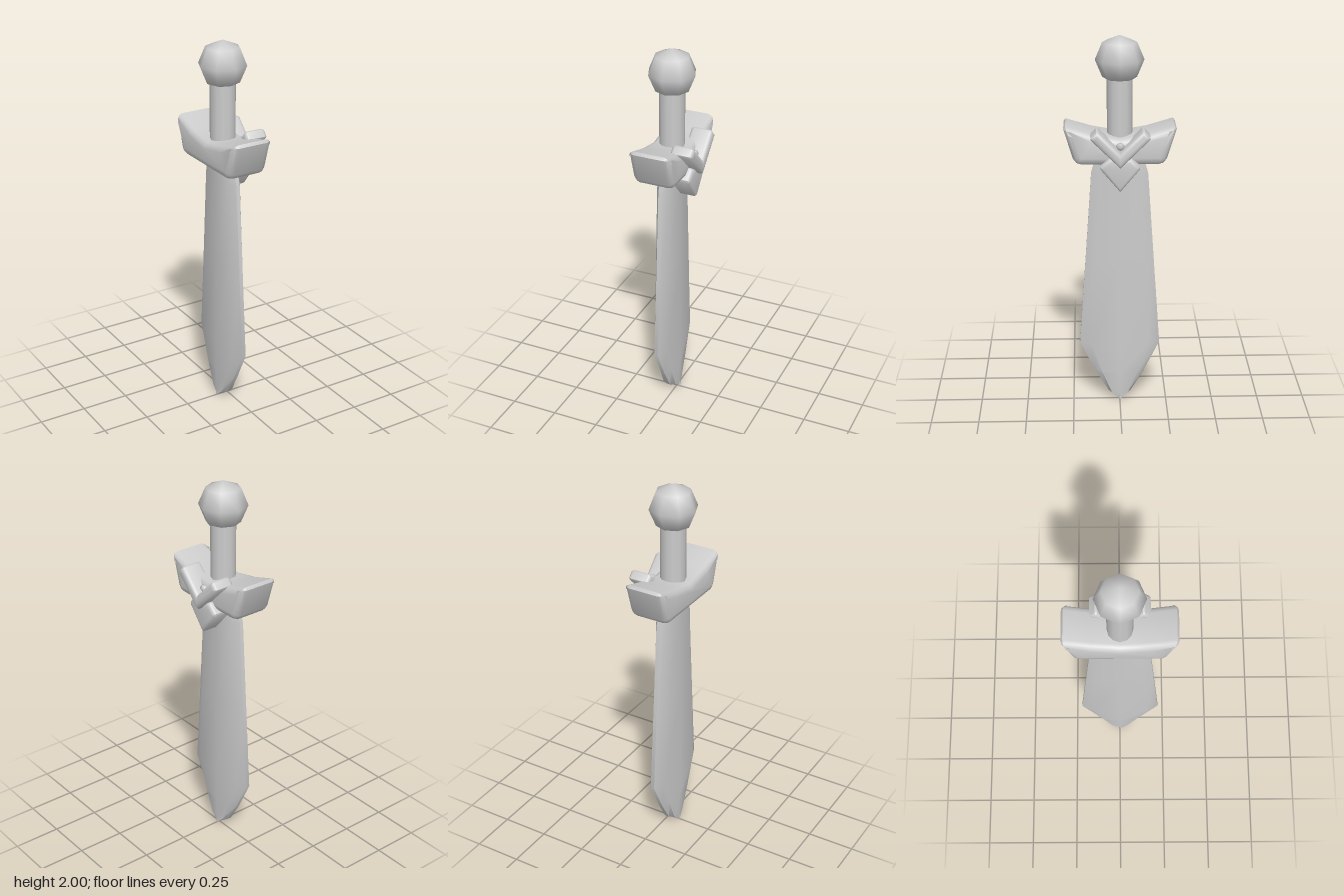
import * as THREE from 'three';
import { toCreasedNormals, mergeVertices } from 'three/addons/utils/BufferGeometryUtils.js';

const material = new THREE.MeshStandardMaterial({ color: 0xcccccc });
const AXIS = -0.025; // x of the sword's long axis

function add(group, name, geometry, x = 0, y = 0) {
  const mesh = new THREE.Mesh(geometry, material);
  mesh.name = name;
  mesh.position.set(x, y, 0);
  group.add(mesh);
  return mesh;
}

// Rounded plate: half outline of [z, y] mirrored across z = 0, spanning x0..x1
function plate(half, x0, x1, bevel) {
  const mirrored = half.filter(([z]) => z > 0).reverse().map(([z, y]) => [-z, y]);
  const shape = new THREE.Shape([...half, ...mirrored].map(([z, y]) => new THREE.Vector2(z, y)));
  const geometry = new THREE.ExtrudeGeometry(shape, {
    depth: x1 - x0 - 2 * bevel, bevelEnabled: true, bevelThickness: bevel,
    bevelSize: bevel, bevelOffset: -bevel, bevelSegments: 3,
  });
  geometry.translate(0, 0, bevel - x1);
  geometry.rotateY(-Math.PI / 2);
  return toCreasedNormals(geometry, 0.75);
}

// Blade: lens cross-sections stacked from the tip upward
function bladeGeometry() {
  const rows = [[0, 0], [0.04, 0.06], [0.16, 0.13], [0.33, 0.213], [0.8, 0.18], [1.28, 0.147], [1.34, 0.13], [1.42, 0.1]];
  const side = [[-1, 0.01], [-0.72, 0.036], [0, 0.045], [0.72, 0.036], [1, 0.01]];
  const ring = [...side, ...side.map(([z, x]) => [-z, -x])];
  const n = ring.length;
  const positions = [], index = [];
  for (const [y, w] of rows) for (const [z, x] of ring) positions.push(x, y, z * w);
  for (let r = 0; r < rows.length - 1; r++) {
    for (let i = 0; i < n; i++) {
      const a = r * n + i, b = r * n + (i + 1) % n;
      index.push(a, a + n, b, b, a + n, b + n);
    }
  }
  const geometry = new THREE.BufferGeometry();
  geometry.setAttribute('position', new THREE.Float32BufferAttribute(positions, 3));
  geometry.setIndex(index);
  return toCreasedNormals(mergeVertices(geometry), 0.6);
}

export function createModel() {
  const sword = new THREE.Group();
  sword.name = 'sword';

  add(sword, 'blade', bladeGeometry(), AXIS);

  // Grip and faceted pommel
  add(sword, 'grip', new THREE.CylinderGeometry(0.065, 0.065, 0.42, 12), AXIS, 1.59);
  add(sword, 'pommel', new THREE.SphereGeometry(0.124, 8, 4), AXIS, 1.876);

  // Winged cross guard
  add(sword, 'crossGuard', plate([
    [0, 1.355], [0.195, 1.355], [0.22, 1.362], [0.238, 1.385],
    [0.285, 1.54], [0.275, 1.555], [0.14, 1.515], [0, 1.49],
  ], -0.135, 0.087, 0.035));

  // Raised chevron, pointed shield below it and the small jewel between
  add(sword, 'chevron', plate([
    [0, 1.355], [0.148, 1.503], [0.15, 1.515], [0.122, 1.545], [0.11, 1.545], [0, 1.435],
  ], 0.028, 0.148, 0.02));
  add(sword, 'shield', plate([
    [0, 1.22], [0.1, 1.34], [0.1, 1.355], [0.055, 1.4], [0, 1.4],
  ], -0.01, 0.115, 0.02));
  add(sword, 'jewel', new THREE.SphereGeometry(0.021, 6, 4).rotateX(Math.PI / 2), 0.097, 1.46);

  return sword;
}
